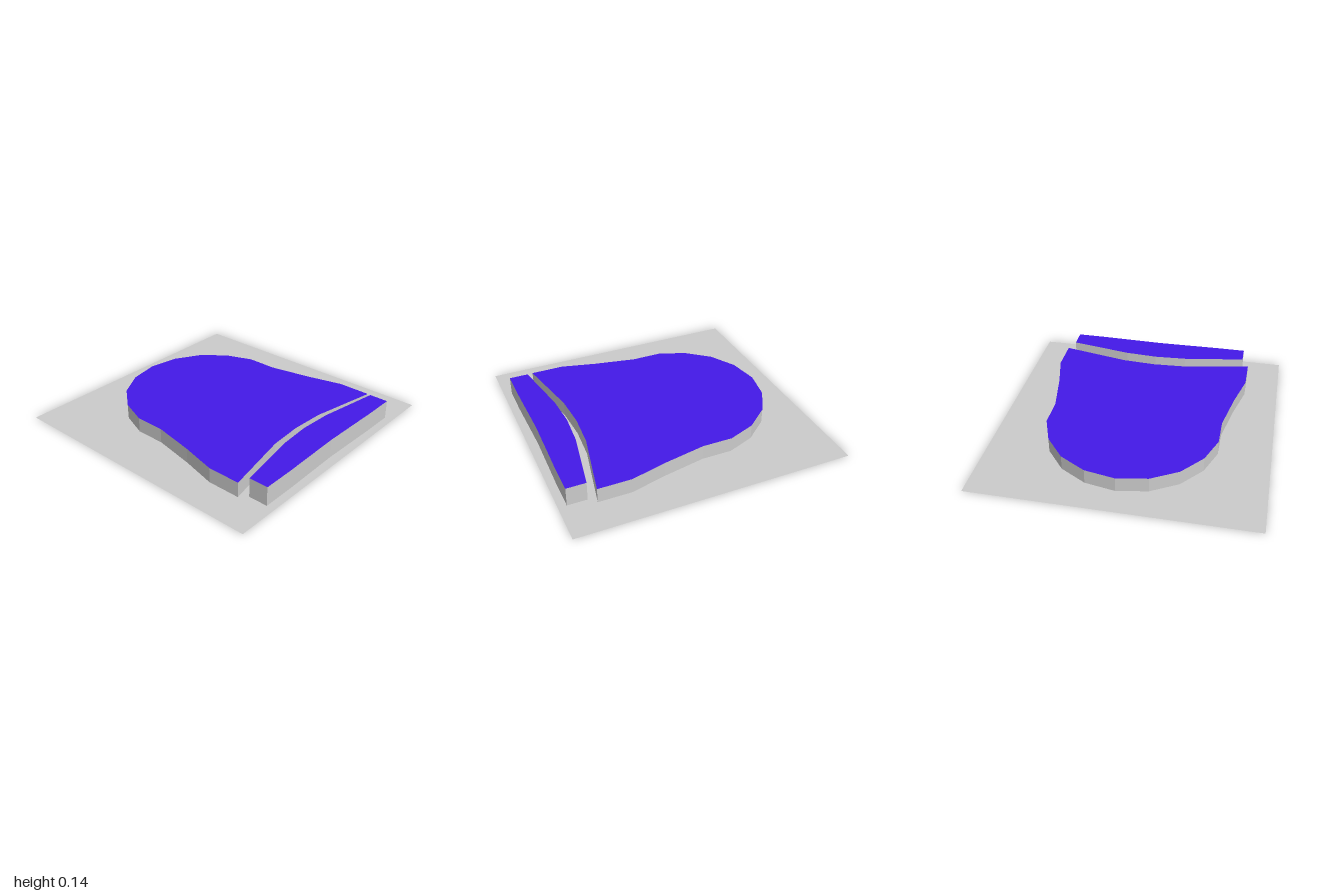
import * as THREE from 'three';

const grey = new THREE.MeshStandardMaterial({ color: 0xcccccc, side: THREE.DoubleSide, flatShading: true });
const blue = new THREE.MeshStandardMaterial({ color: 0x4419e8, side: THREE.DoubleSide, flatShading: true });

// Half outlines as [x, distance from the centre line], mirrored into closed loops
const basinHalf = [
  [-0.8, 0], [-0.76, 0.22], [-0.65, 0.41], [-0.48, 0.55], [-0.28, 0.625], [-0.06, 0.625],
  [0.25, 0.685], [0.51, 0.75], [0.75, 0.75], [0.7, 0.5], [0.65, 0.25], [0.635, 0],
];
const barHalf = [
  [0.705, 0], [0.72, 0.24], [0.76, 0.47], [0.8, 0.7],
  [0.94, 0.7], [0.94, 0.47], [0.935, 0.24], [0.93, 0],
];

function mirrorOutline(half) {
  const lower = half.map(([x, y]) => new THREE.Vector2(x, -y));
  const upper = half.slice(1, -1).reverse().map(([x, y]) => new THREE.Vector2(x, y));
  return [...lower, ...upper];
}

// Flat horizontal sheet at a given height
function sheet(name, shape, height, material) {
  const geometry = new THREE.ShapeGeometry(shape).rotateX(-Math.PI / 2).translate(0, height, 0);
  const mesh = new THREE.Mesh(geometry, material);
  mesh.name = name;
  return mesh;
}

// Upright faceted wall following an outline, open at top and bottom
function wall(name, outline, height) {
  const positions = [];
  outline.forEach((a, i) => {
    const b = outline[(i + 1) % outline.length];
    const a0 = [a.x, 0, -a.y], b0 = [b.x, 0, -b.y];
    const a1 = [a.x, height, -a.y], b1 = [b.x, height, -b.y];
    positions.push(...a0, ...b0, ...b1, ...a0, ...b1, ...a1);
  });
  const geometry = new THREE.BufferGeometry();
  geometry.setAttribute('position', new THREE.Float32BufferAttribute(positions, 3));
  geometry.computeVertexNormals();
  const mesh = new THREE.Mesh(geometry, grey);
  mesh.name = name;
  return mesh;
}

// Raised hollow platform: grey wall with a coloured top
function platform(name, outline, height) {
  const group = new THREE.Group();
  group.name = name;
  group.add(wall(name + 'Wall', outline, height));
  group.add(sheet(name + 'Top', new THREE.Shape(outline), height, blue));
  return group;
}

export function createModel() {
  const model = new THREE.Group();
  model.name = 'raisedPlatforms';
  const main = mirrorOutline(basinHalf);
  const bar = mirrorOutline(barHalf);

  // Square ground sheet, cut out beneath both platforms
  const square = new THREE.Shape([[-1, -1], [1, -1], [1, 1], [-1, 1]].map(([x, y]) => new THREE.Vector2(x, y)));
  square.holes.push(new THREE.Path(main), new THREE.Path(bar));
  model.add(sheet('baseSheet', square, 0, grey));

  model.add(platform('mainPlatform', main, 0.11));
  model.add(platform('endBar', bar, 0.14));
  return model;
}
